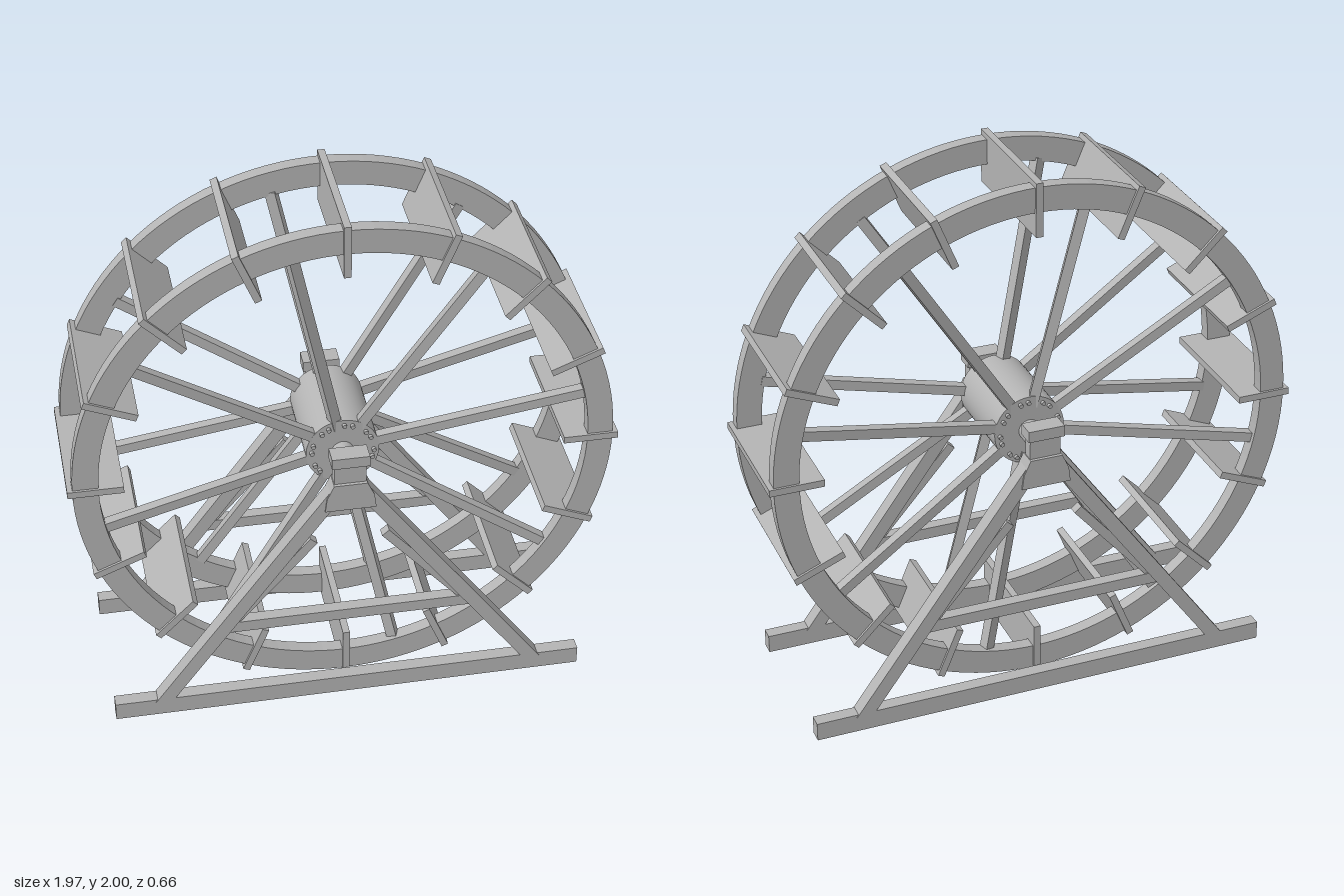
import * as THREE from 'three';

const AXLE_Y = 1.015;

export function createModel() {
  const model = new THREE.Group();
  model.name = 'waterWheel';
  const timber = new THREE.MeshStandardMaterial({ color: 0xb4b4b4 });
  timber.name = 'grey timber';

  const add = (parent, name, geometry, x = 0, y = 0, z = 0) => {
    const mesh = new THREE.Mesh(geometry, timber);
    mesh.name = name;
    mesh.position.set(x, y, z);
    parent.add(mesh);
    return mesh;
  };
  const box = (parent, name, w, h, d, x, y, z) =>
    add(parent, name, new THREE.BoxGeometry(w, h, d), x, y, z);

  // Square-cut beam between two points
  const beam = (parent, name, a, b, w, h) => {
    const from = new THREE.Vector3(...a), to = new THREE.Vector3(...b);
    const mesh = box(parent, name, w, h, from.distanceTo(to), 0, 0, 0);
    mesh.position.copy(from).lerp(to, 0.5);
    mesh.lookAt(to);
    return mesh;
  };
  const cylinderZ = (parent, name, r, length, z = 0, x = 0, y = 0, sides = 48) => {
    const g = new THREE.CylinderGeometry(r, r, length, sides).rotateX(Math.PI / 2);
    return add(parent, name, g, x, y, z);
  };

  // Wheel, built around its axle
  const wheel = new THREE.Group();
  wheel.name = 'wheel';
  const rimShape = new THREE.Shape().absarc(0, 0, 0.967, 0, Math.PI * 2);
  rimShape.holes.push(new THREE.Path().absarc(0, 0, 0.875, 0, Math.PI * 2, true));
  const rimGeometry = new THREE.ExtrudeGeometry(rimShape, {
    depth: 0.05, bevelEnabled: false, curveSegments: 64,
  }).translate(0, 0, -0.025);

  cylinderZ(wheel, 'hubDrum', 0.132, 0.34);
  cylinderZ(wheel, 'axle', 0.04, 0.6);

  for (const side of [1, -1]) {
    add(wheel, 'rim', rimGeometry, 0, 0, side * 0.221);
    for (let i = 0; i < 8; i++) {
      // Spokes lean outwards from the hub to the rim
      const a = THREE.MathUtils.degToRad(12 + 45 * i);
      const c = Math.cos(a), s = Math.sin(a);
      beam(wheel, 'spoke', [c * 0.09, s * 0.09, side * 0.148],
        [c * 0.885, s * 0.885, side * 0.212], 0.037, 0.037);
      // Bolts in the hub face, one either side of each spoke
      for (const offset of [-0.26, 0.26]) {
        cylinderZ(wheel, 'hubBolt', 0.008, 0.016, side * 0.175,
          Math.cos(a + offset) * 0.112, Math.sin(a + offset) * 0.112, 10);
      }
    }
  }

  // Paddles across both rims
  for (let i = 0; i < 16; i++) {
    const a = (i / 16) * Math.PI * 2;
    const paddle = box(wheel, 'paddle', 0.198, 0.026, 0.51,
      Math.cos(a) * 0.886, Math.sin(a) * 0.886, 0);
    paddle.rotation.z = a;
  }
  wheel.position.y = AXLE_Y;
  model.add(wheel);

  // Plate under each bearing
  const plateShape = new THREE.Shape([
    [-0.092, 0.875], [0.092, 0.875], [0.085, 0.93], [0.06, 0.985],
    [-0.06, 0.985], [-0.085, 0.93],
  ].map((p) => new THREE.Vector2(...p)));
  const plateGeometry = new THREE.ExtrudeGeometry(plateShape, {
    depth: 0.07, bevelEnabled: false,
  }).translate(0, 0, -0.035);

  // Trestle on each side
  for (const side of [1, -1]) {
    const trestle = new THREE.Group();
    trestle.name = side > 0 ? 'frontTrestle' : 'backTrestle';
    box(trestle, 'baseBeam', 1.75, 0.07, 0.05, 0, 0.035, 0);
    box(trestle, 'crossBeam', 0.93, 0.045, 0.045, 0, 0.377, 0);
    add(trestle, 'bearingPlate', plateGeometry);
    box(trestle, 'bearingBlock', 0.115, 0.09, 0.045, 0, 1.02, 0);
    box(trestle, 'bearingCap', 0.135, 0.042, 0.07, 0, 1.081, 0);
    for (const x of [1, -1]) {
      beam(trestle, 'leg', [x * 0.045, 0.95, 0], [x * 0.705, 0.045, 0], 0.058, 0.052);
      beam(trestle, 'brace', [x * 0.13, 0.735, 0], [x * 0.43, 0.39, 0], 0.035, 0.034);
    }
    trestle.position.z = side * 0.297;
    model.add(trestle);
  }
  return model;
}
